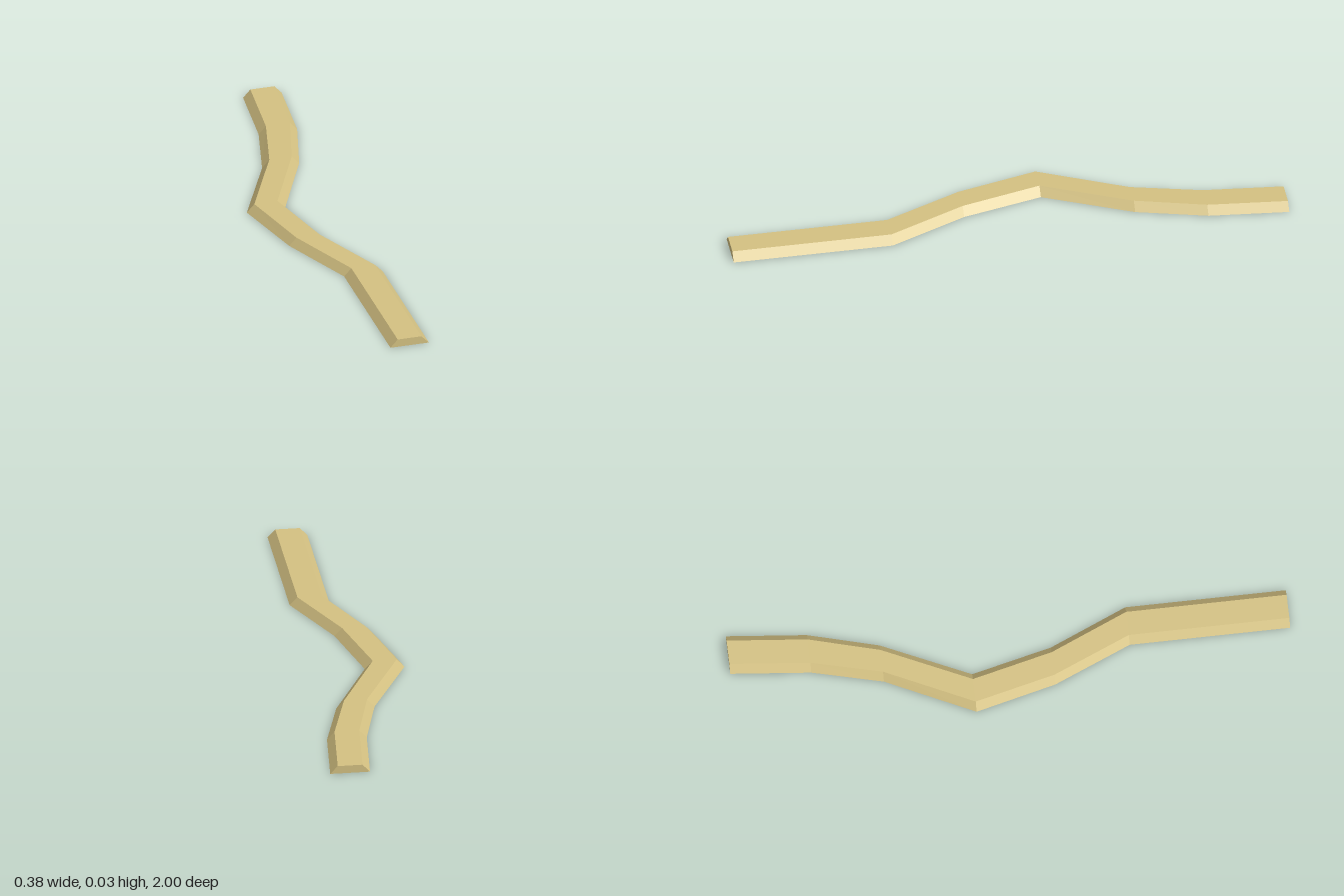
import * as THREE from 'three';

// Stations from front to back: z, then x of bottom -x, top -x, top +x, bottom +x edges, base and top heights
const stations = [
  [1, -0.002, 0.025, 0.113, 0.141, 0, 0.029],
  [0.425, -0.002, 0.025, 0.113, 0.141, 0, 0.029],
  [0.145, -0.122, -0.095, -0.009, 0.019, 0.001, 0.03],
  [-0.145, -0.193, -0.165, -0.079, -0.05, 0.001, 0.031],
  [-0.46, -0.042, -0.015, 0.068, 0.096, 0, 0.03],
  [-0.713, 0.021, 0.048, 0.137, 0.164, 0, 0.029],
  [-1, 0.049, 0.076, 0.165, 0.192, 0, 0.029],
];

// Skin the trapezoid sections into a faceted shell, open underneath
function pathGeometry() {
  const rings = stations.map(([z, a, b, c, d, y0, y1]) => [
    [a, y0, z], [b, y1, z], [c, y1, z], [d, y0, z],
  ]);
  const positions = [];
  const quad = (a, b, c, d) => positions.push(...a, ...b, ...c, ...a, ...c, ...d);
  for (let i = 0; i < rings.length - 1; i++) {
    for (let j = 0; j < 3; j++) {
      quad(rings[i][j], rings[i][j + 1], rings[i + 1][j + 1], rings[i + 1][j]);
    }
  }
  // End caps
  const [a, b, c, d] = rings[0];
  quad(a, d, c, b);
  quad(...rings[rings.length - 1]);

  const geometry = new THREE.BufferGeometry();
  geometry.setAttribute('position', new THREE.Float32BufferAttribute(positions, 3));
  geometry.computeVertexNormals();
  return geometry;
}

export function createModel() {
  const group = new THREE.Group();
  group.name = 'windingPath';
  const sand = new THREE.MeshStandardMaterial({ color: 0xd4c182, side: THREE.DoubleSide });
  sand.name = 'sand';
  const path = new THREE.Mesh(pathGeometry(), sand);
  path.name = 'pathStrip';
  group.add(path);
  return group;
}
